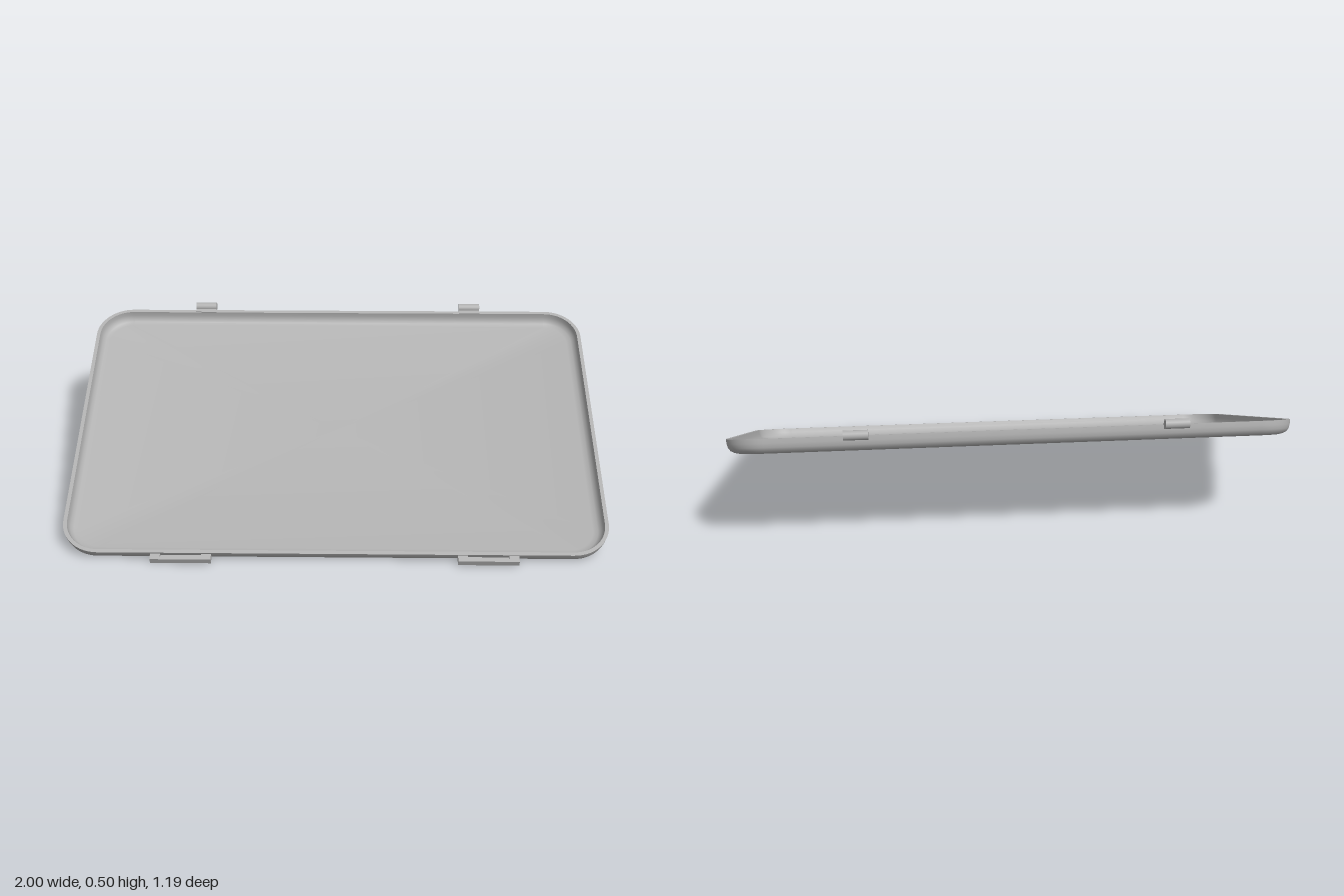
import * as THREE from 'three';
import { toCreasedNormals } from 'three/addons/utils/BufferGeometryUtils.js';

const HALF_X = 1.0, HALF_Z = 0.608, CORNER = 0.14, ARC = 14;

// One loop of a rounded rectangle, shrunk evenly by inset
function loop(inset, y) {
  const pts = [], r = CORNER - inset;
  const corners = [[1, 1], [-1, 1], [-1, -1], [1, -1]];
  corners.forEach(([sx, sz], k) => {
    for (let i = 0; i <= ARC; i++) {
      const a = (k + i / ARC) * Math.PI / 2;
      pts.push([sx * (HALF_X - CORNER) + r * Math.cos(a), y, sz * (HALF_Z - CORNER) + r * Math.sin(a)]);
    }
  });
  return pts;
}

// Thin dished shell: outer wall up, over the rim, and down to the floor
function trayGeometry() {
  const profile = [
    [0.042, 0], [0.027, 0.003], [0.014, 0.010], [0.006, 0.021], [0.002, 0.036], [0, 0.052],
    [0.014, 0.052], [0.017, 0.036], [0.023, 0.023], [0.034, 0.014], [0.052, 0.010],
  ];
  const n = 4 * (ARC + 1), pos = [], idx = [];
  profile.forEach(([inset, y]) => loop(inset, y).forEach(p => pos.push(...p)));
  const last = (profile.length - 1) * n, under = profile.length * n, floor = under + 1;
  pos.push(0, 0, 0, 0, 0.010, 0);
  for (let j = 0; j < n; j++) {
    const k = (j + 1) % n;
    for (let i = 0; i < profile.length - 1; i++) {
      const a = i * n, b = a + n;
      idx.push(a + j, b + j, b + k, a + j, b + k, a + k);
    }
    idx.push(under, j, k, last + j, floor, last + k);
  }
  const g = new THREE.BufferGeometry();
  g.setAttribute('position', new THREE.Float32BufferAttribute(pos, 3));
  g.setIndex(idx);
  return toCreasedNormals(g, 0.7);
}

export function createModel() {
  const grey = new THREE.MeshStandardMaterial({ color: 0xb0b0b0 });
  grey.name = 'plain grey';
  const model = new THREE.Group();
  model.name = 'lid';

  // Everything is built flat, then tilted so the back edge is raised
  const tilted = new THREE.Group();
  tilted.name = 'tiltedLid';
  tilted.rotation.x = THREE.MathUtils.degToRad(21);
  tilted.position.y = 0.204;
  model.add(tilted);

  const add = (name, geometry, x, y, z) => {
    const m = new THREE.Mesh(geometry, grey);
    m.name = name;
    m.position.set(x, y, z);
    tilted.add(m);
  };

  add('tray', trayGeometry(), 0, 0, -0.01);

  const barrel = new THREE.CylinderGeometry(0.017, 0.017, 0.085, 20).rotateZ(Math.PI / 2);
  for (const [side, s] of [['left', 1], ['right', -1]]) {
    // Hinge barrels on the raised back edge
    const hx = s * 0.552 - 0.004;
    add(side + 'HingeBarrel', barrel, hx, 0.054, -0.637);
    add(side + 'HingeNeck', new THREE.BoxGeometry(0.085, 0.018, 0.032), hx, 0.046, -0.621);

    // Slotted latch loops on the front edge
    const lx = s * 0.555 - 0.002;
    add(side + 'LatchBar', new THREE.BoxGeometry(0.22, 0.024, 0.012), lx, 0.034, 0.616);
    for (const e of [-1, 1]) {
      add(side + 'LatchEnd', new THREE.BoxGeometry(0.036, 0.024, 0.018), lx + e * 0.092, 0.034, 0.602);
    }
    add(side + 'LatchWeb', new THREE.BoxGeometry(0.15, 0.012, 0.018), lx, 0.028, 0.602);
  }
  return model;
}
